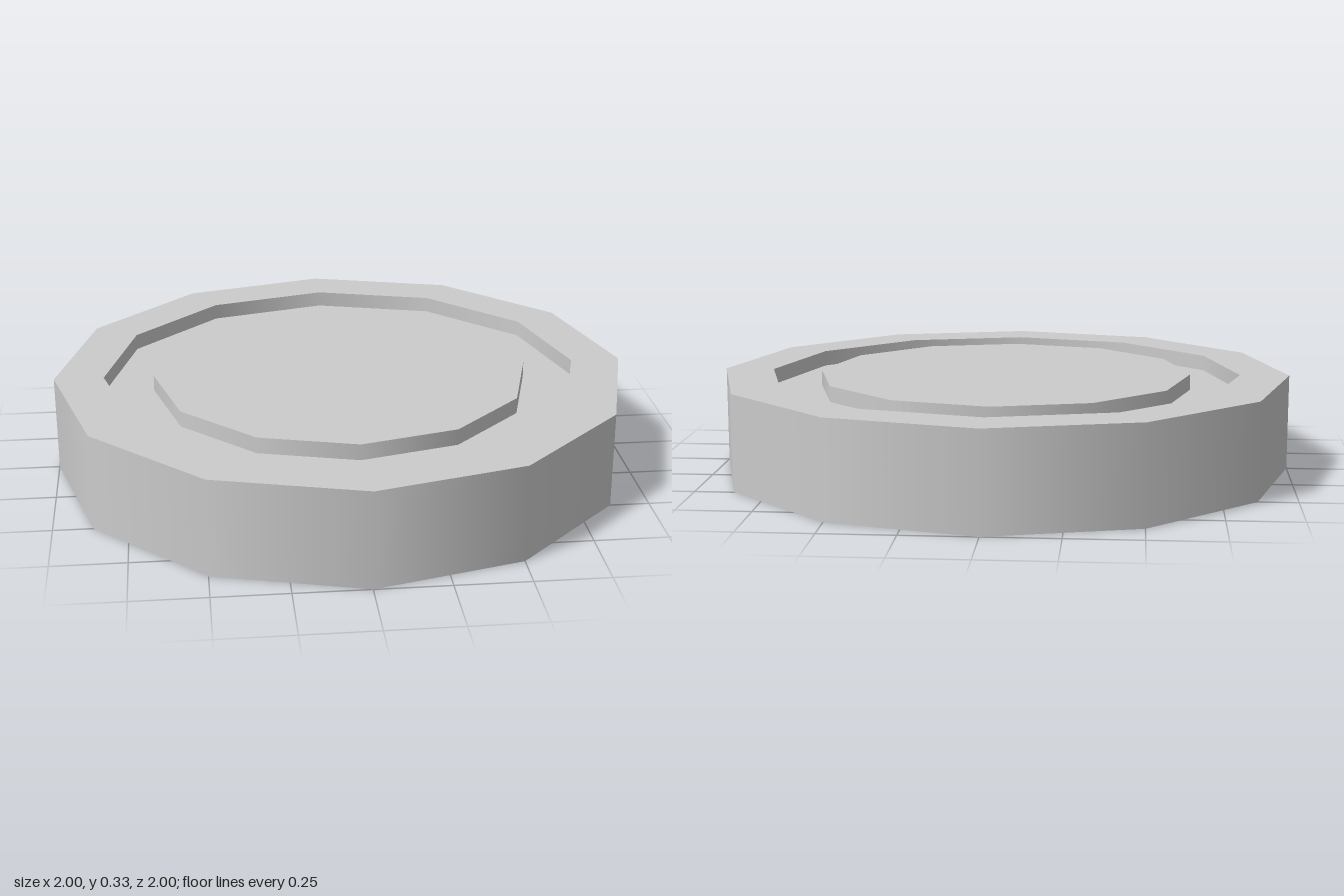
import * as THREE from 'three';
import { mergeGeometries } from 'three/addons/utils/BufferGeometryUtils.js';

const SIDES = 12;
const HEIGHT = 0.333;
const GROOVE = 0.055; // depth of the ring groove on both faces
const R_OUTER = 1, R_RIM = 0.828, R_DISC = 0.655;

// Revolves each profile segment separately: sharp profile corners, smooth around the axis
function revolve(name, profile, material) {
  const bands = [];
  for (let i = 0; i < profile.length - 1; i++) {
    const pair = [profile[i], profile[i + 1]].map(([r, y]) => new THREE.Vector2(r, y));
    bands.push(new THREE.LatheGeometry(pair, SIDES));
  }
  const mesh = new THREE.Mesh(mergeGeometries(bands), material);
  mesh.name = name;
  return mesh;
}

export function createModel() {
  const group = new THREE.Group();
  group.name = 'wheel';
  const material = new THREE.MeshStandardMaterial({ color: 0xcccccc });
  const low = GROOVE, high = HEIGHT - GROOVE;

  // Outer rim: lower groove wall, underside, tread, top face, upper groove wall
  group.add(revolve('outerRim', [
    [R_RIM, low], [R_RIM, 0], [R_OUTER, 0], [R_OUTER, HEIGHT], [R_RIM, HEIGHT], [R_RIM, high],
  ], material));

  // Recessed groove floors, underside and top
  group.add(revolve('lowerGrooveFloor', [[R_DISC, low], [R_RIM, low]], material));
  group.add(revolve('upperGrooveFloor', [[R_RIM, high], [R_DISC, high]], material));

  // Raised centre disc on each face, flush with the rim
  group.add(revolve('lowerCentreDisc', [[0, 0], [R_DISC, 0], [R_DISC, low]], material));
  group.add(revolve('upperCentreDisc', [[R_DISC, high], [R_DISC, HEIGHT], [0, HEIGHT]], material));

  return group;
}
